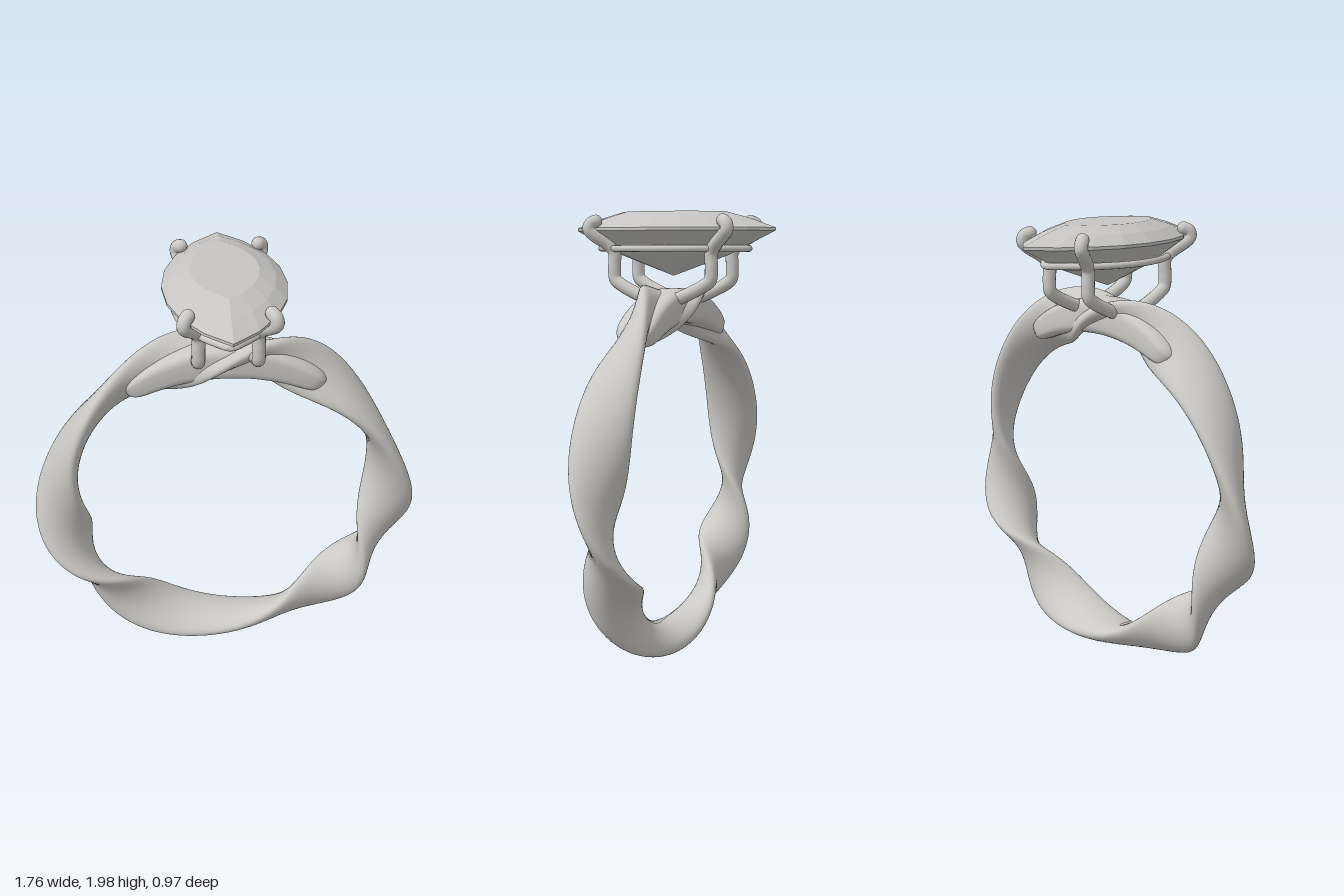
import * as THREE from 'three';

const CENTER_Y = 0.83, RADIUS = 0.7625;

// Sweeps a closed section around the ring centre; section(theta, t) returns [radius, z]
function sweepRing(section, from, to, n, m, closed) {
  const pos = [], idx = [];
  const rows = closed ? n : n + 1;
  for (let i = 0; i < rows; i++) {
    const th = from + (to - from) * i / n;
    for (let j = 0; j < m; j++) {
      const [r, z] = section(th, j / m * Math.PI * 2);
      pos.push(r * Math.cos(th), CENTER_Y + r * Math.sin(th), z);
    }
  }
  for (let i = 0; i < n; i++) for (let j = 0; j < m; j++) {
    const k = (i + 1) % rows, l = (j + 1) % m;
    const a = i * m + j, b = k * m + j, c = k * m + l, d = i * m + l;
    idx.push(a, b, c, a, c, d);
  }
  const g = new THREE.BufferGeometry();
  g.setAttribute('position', new THREE.Float32BufferAttribute(pos, 3));
  g.setIndex(idx);
  g.computeVertexNormals();
  return g;
}

// Marquise outline: two arcs meeting at points on the z axis
function marquise(hw, hl, n) {
  const R = (hw * hw + hl * hl) / (2 * hw), A = Math.asin(hl / R), pts = [];
  for (const s of [1, -1]) for (let i = 0; i < n; i++) {
    const a = A - 2 * A * i / n;
    pts.push([s * (R * Math.cos(a) - (R - hw)), s * R * Math.sin(a)]);
  }
  return pts;
}

// Faceted stone from marquise levels [half width, half length, y], top to bottom
function gemGeometry() {
  const levels = [[0.145, 0.25, 2], [0.215, 0.37, 1.968], [0.265, 0.485, 1.928],
    [0.265, 0.485, 1.915], [0.15, 0.27, 1.81]];
  const n = 8, m = n * 2, pos = [];
  const rings = levels.map(([w, l, y]) => marquise(w, l, n).map(([x, z]) => [x, y, z]));
  const tri = (a, b, c) => pos.push(...a, ...b, ...c);
  for (let j = 0; j < m; j++) {
    const k = (j + 1) % m;
    tri([0, 2, 0], rings[0][j], rings[0][k]);
    for (let i = 0; i < rings.length - 1; i++) {
      const u = rings[i], d = rings[i + 1];
      tri(u[j], d[j], d[k]);
      tri(u[j], d[k], u[k]);
    }
    tri(rings[4][j], [0, 1.715, 0], rings[4][k]);
  }
  const g = new THREE.BufferGeometry();
  g.setAttribute('position', new THREE.Float32BufferAttribute(pos, 3));
  g.computeVertexNormals();
  return g;
}

export function createModel() {
  const model = new THREE.Group();
  model.name = 'ring';
  const metal = new THREE.MeshStandardMaterial({ color: 0xcbc9c5 });
  metal.name = 'silver metal';
  const stone = new THREE.MeshStandardMaterial({ color: 0xc6c5c3, flatShading: true });
  stone.name = 'pale stone';
  const add = (name, geometry, material, parent = model) => {
    const mesh = new THREE.Mesh(geometry, material);
    mesh.name = name;
    parent.add(mesh);
    return mesh;
  };

  // Twisted band: an oval section making three turns, at an uneven rate
  add('twistedBand', sweepRing((th, t) => {
    const psi = 3 * th + 0.5 * Math.cos(3 * th);
    const u = 0.125 * Math.cos(t), v = 0.052 * Math.sin(t);
    return [RADIUS + u * Math.cos(psi) - v * Math.sin(psi), u * Math.sin(psi) + v * Math.cos(psi)];
  }, 0, Math.PI * 2, 240, 40, true), metal);

  // Curved bar under the setting, rounded box section with rounded ends
  const soft = (v) => Math.sign(v) * Math.sqrt(Math.abs(v));
  const span = 0.63;
  add('settingBar', sweepRing((th, t) => {
    const s = Math.min(1, Math.abs(th - Math.PI / 2) / span);
    const end = Math.pow(Math.max(0, 1 - Math.pow(s, 16)), 0.5);
    const half = (0.08 - 0.035 * s * s) * end;
    return [0.75 + half * soft(Math.cos(t)), 0.093 * end * soft(Math.sin(t))];
  }, Math.PI / 2 - span, Math.PI / 2 + span, 80, 32, false), metal);

  // Stone
  add('marquiseStone', gemGeometry(), stone);

  // Thin rail below the girdle
  const railPoints = marquise(0.215, 0.36, 12).map(([x, z]) => new THREE.Vector3(x, 1.837, z));
  add('rail', new THREE.TubeGeometry(
    new THREE.CatmullRomCurve3(railPoints, true), 120, 0.015, 10, true), metal);

  // Four bent prongs with rounded ends
  const path = [[0.12, 1.615, 0.07], [0.125, 1.635, 0.12], [0.125, 1.675, 0.2], [0.125, 1.7, 0.23],
    [0.125, 1.75, 0.235], [0.125, 1.82, 0.235], [0.14, 1.855, 0.26], [0.175, 1.895, 0.31],
    [0.187, 1.92, 0.33], [0.183, 1.945, 0.325], [0.168, 1.957, 0.305]];
  for (const sx of [1, -1]) for (const sz of [1, -1]) {
    const prong = new THREE.Group();
    prong.name = (sz > 0 ? 'front' : 'back') + (sx > 0 ? 'Left' : 'Right') + 'Prong';
    const pts = path.map(([x, y, z]) => new THREE.Vector3(sx * x, y, sz * z));
    add('prongWire', new THREE.TubeGeometry(
      new THREE.CatmullRomCurve3(pts), 60, 0.029, 14), metal, prong);
    for (const p of [pts[0], pts[pts.length - 1]])
      add('prongTip', new THREE.SphereGeometry(0.029, 14, 10), metal, prong).position.copy(p);
    model.add(prong);
  }
  return model;
}
